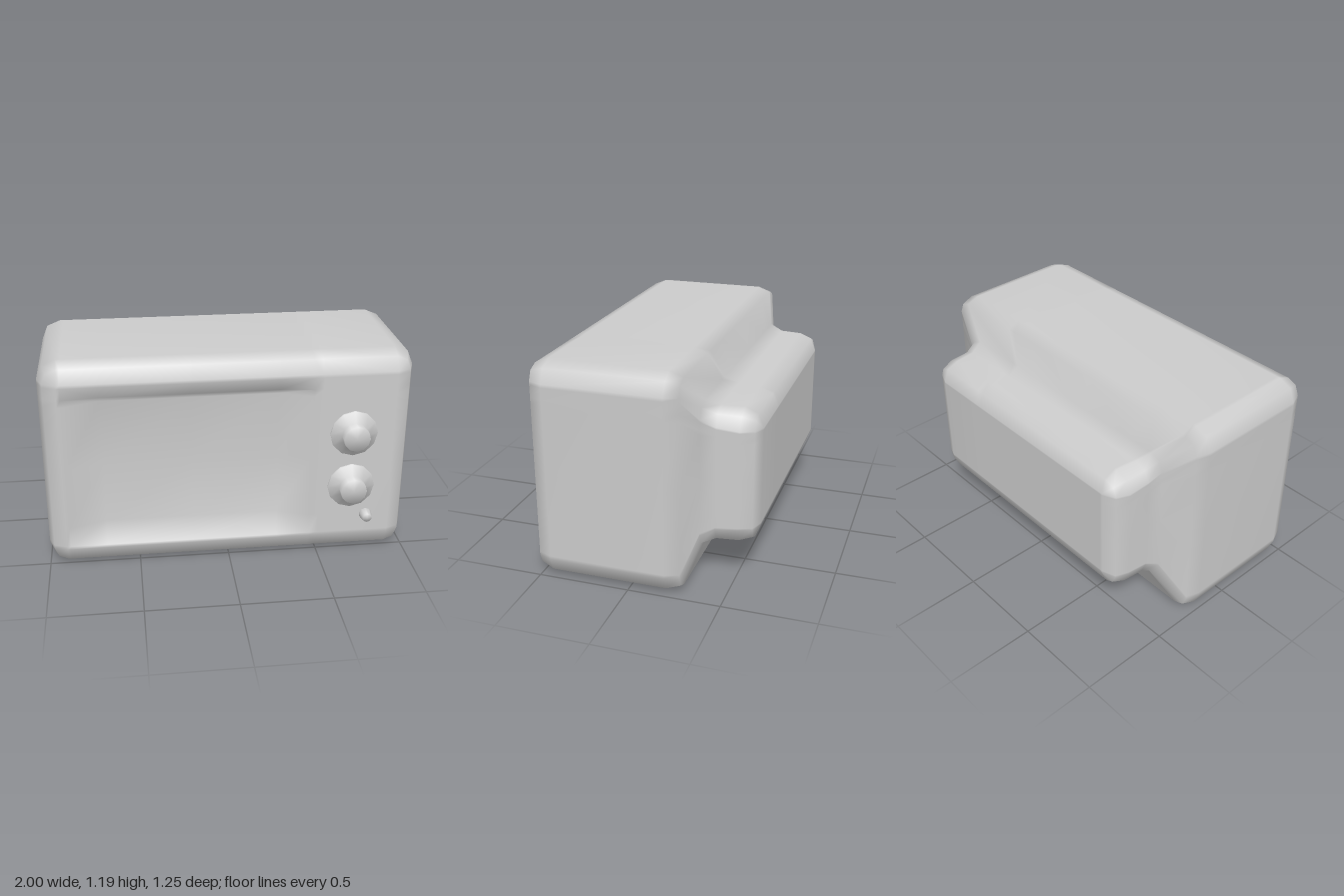
import * as THREE from 'three';
import { mergeVertices } from 'three/addons/utils/BufferGeometryUtils.js';

const CY = 0.597;               // height of the cabinet's centre line
const FRONT = 0.537, BACK = -0.623;
const HW = 0.9, HH = 0.488;     // half size of the flat front panel

// Grid lines of the front panel; every cross-section uses the same divisions
const XS = [-0.9, -0.88, -0.68, -0.2, 0.27, 0.45, 0.5, 0.9];
const YS = [-0.488, -0.47, -0.355, 0, 0.365, 0.405, 0.47, 0.488];

// Piecewise linear lookup through [position, value] pairs
function ramp(points, t) {
  for (let i = 1; i < points.length; i++) {
    const [a, va] = points[i - 1], [b, vb] = points[i];
    if (t <= b) return va + (vb - va) * Math.max(0, (t - a) / (b - a));
  }
  return points[points.length - 1][1];
}

// Depth of the screen recess: the shallower of the two wall slopes
function recess(x, y) {
  return Math.min(
    ramp([[-0.88, 0], [-0.68, 0.07], [0.27, 0.07], [0.45, 0]], x),
    ramp([[-0.47, 0], [-0.355, 0.07], [0.365, 0.07], [0.405, 0.02], [0.47, 0]], y));
}

// Rounded rectangle at depth z, counter-clockwise from the bottom left
function section([z, hw, hh, r]) {
  const sx = (hw - r) / HW, sy = (hh - r) / HH, out = [];
  const put = (x, y) => out.push([x, CY + y, z]);
  const corner = (x, y, start) => {
    const a = start + Math.PI / 4;
    put(x * (hw - r) + r * Math.cos(a), y * (hh - r) + r * Math.sin(a));
  };
  XS.forEach(x => put(x * sx, -hh));
  corner(1, -1, -Math.PI / 2);
  YS.forEach(y => put(hw, y * sy));
  corner(1, 1, 0);
  [...XS].reverse().forEach(x => put(x * sx, hh));
  corner(-1, 1, Math.PI / 2);
  [...YS].reverse().forEach(y => put(-hw, y * sy));
  corner(-1, -1, Math.PI);
  return out;
}

function cabinetGeometry() {
  const pos = [];
  const tri = (a, b, c) => pos.push(...a, ...b, ...c);

  // Shell: front rim, sides, shoulder, then the smaller tube housing
  const rings = [
    [FRONT, HW, HH, 0], [0.51, 0.97, 0.564, 0.075], [0.435, 1, 0.595, 0.105],
    [-0.2, 1, 0.595, 0.105], [-0.275, 0.975, 0.568, 0.08], [-0.328, 0.805, 0.402, 0.08],
    [-0.405, 0.785, 0.373, 0.09], [-0.525, 0.78, 0.372, 0.1],
    [-0.595, 0.752, 0.343, 0.07], [BACK, 0.68, 0.27, 0]
  ].map(section);
  for (let k = 1; k < rings.length; k++) {
    const f = rings[k - 1], b = rings[k], n = f.length;
    for (let i = 0; i < n; i++) {
      const j = (i + 1) % n;
      tri(f[i], b[i], b[j]);
      tri(f[i], b[j], f[j]);
    }
  }

  // Front panel with the recessed screen, and the flat back panel
  const frontAt = (i, j) => [XS[i], CY + YS[j], FRONT - recess(XS[i], YS[j])];
  const backAt = (i, j) => [XS[i] * 0.68 / HW, CY + YS[j] * 0.27 / HH, BACK];
  for (let i = 0; i < XS.length - 1; i++) {
    for (let j = 0; j < YS.length - 1; j++) {
      const [a, b, c, d] = [frontAt(i, j), frontAt(i + 1, j), frontAt(i + 1, j + 1), frontAt(i, j + 1)];
      // Split along the steeper diagonal so the recess corners mitre
      if (Math.abs(a[2] - c[2]) >= Math.abs(b[2] - d[2])) { tri(a, b, c); tri(a, c, d); }
      else { tri(a, b, d); tri(b, c, d); }
      const [e, f, g, h] = [backAt(i, j), backAt(i + 1, j), backAt(i + 1, j + 1), backAt(i, j + 1)];
      tri(e, g, f);
      tri(e, h, g);
    }
  }
  const geometry = new THREE.BufferGeometry();
  geometry.setAttribute('position', new THREE.Float32BufferAttribute(pos, 3));
  const merged = mergeVertices(geometry, 1e-4);
  merged.computeVertexNormals();
  return merged;
}

// Turned part pointing forward; profile is [radius, distance from panel]
function knob(name, profile, sides, x, y, material) {
  const points = profile.map(([r, h]) => new THREE.Vector2(r, h));
  const mesh = new THREE.Mesh(new THREE.LatheGeometry(points, sides), material);
  mesh.name = name;
  mesh.rotation.x = Math.PI / 2;
  mesh.position.set(x, y, FRONT);
  return mesh;
}

export function createModel() {
  const group = new THREE.Group();
  group.name = 'television';
  const grey = new THREE.MeshStandardMaterial({ color: 0xcccccc });

  const cabinet = new THREE.Mesh(cabinetGeometry(), grey);
  cabinet.name = 'cabinet';
  group.add(cabinet);

  // Two tuning dials and a small power button
  const dial = [[0.13, -0.01], [0.13, 0.012], [0.072, 0.035], [0.072, 0.086], [0, 0.086]];
  group.add(knob('upperDial', dial, 12, 0.675, 0.738, grey));
  group.add(knob('lowerDial', dial, 12, 0.675, 0.42, grey));
  group.add(knob('powerButton', [[0.035, -0.01], [0.035, 0.01], [0.025, 0.052], [0, 0.052]],
    10, 0.77, 0.23, grey));
  return group;
}
